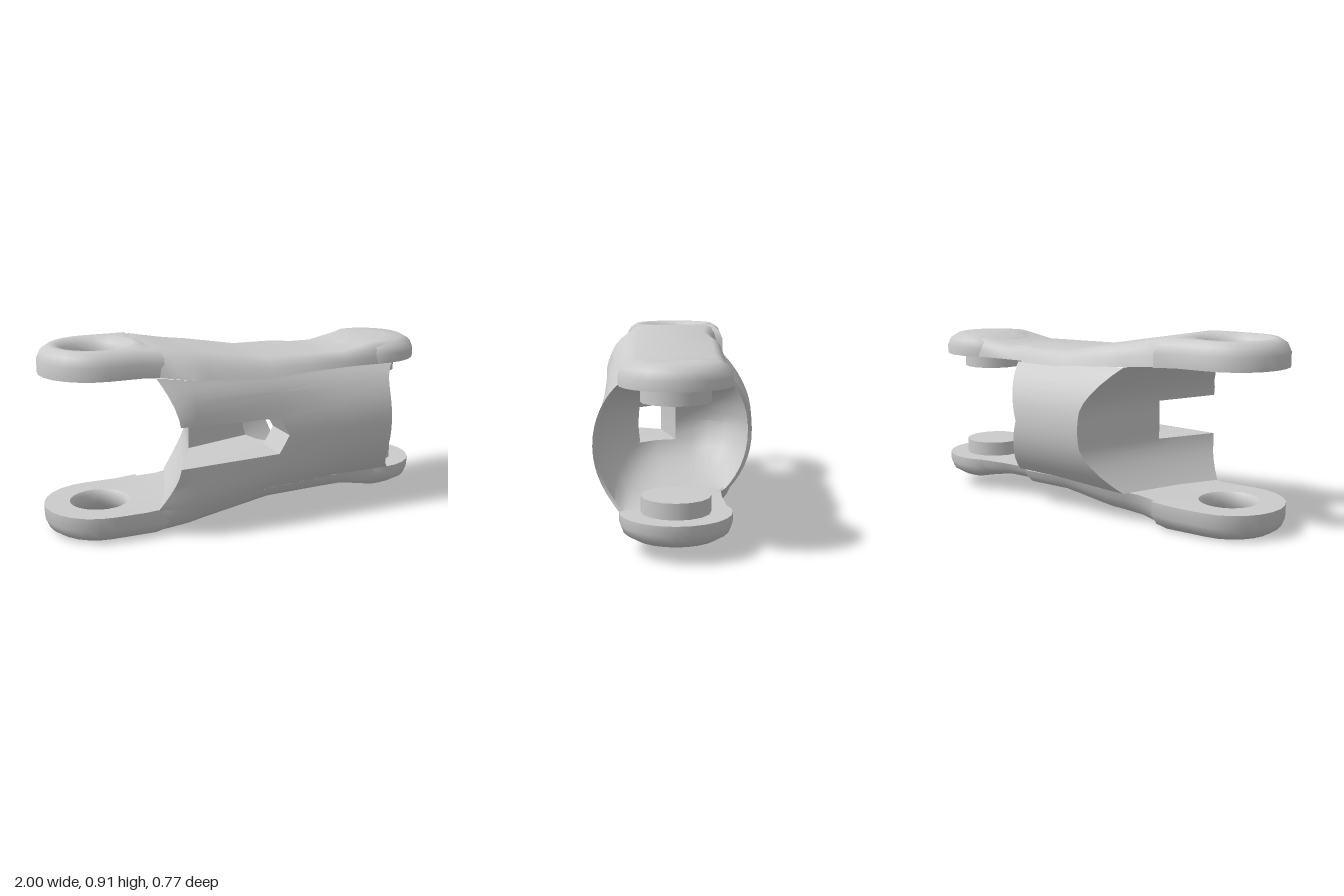
import * as THREE from 'three';
import { mergeGeometries, toCreasedNormals } from 'three/addons/utils/BufferGeometryUtils.js';

const MID = 0.453;      // height of the symmetry plane
const NOTCH = 0.32;     // notch half-height as a fraction of the body
const ZC = 0.017;       // z of both pivot axes

// Piecewise linear lookup through [x, value] pairs
function ramp(pairs, x) {
  if (x <= pairs[0][0]) return pairs[0][1];
  for (let i = 1; i < pairs.length; i++) {
    const [x0, v0] = pairs[i - 1], [x1, v1] = pairs[i];
    if (x <= x1) return v0 + (v1 - v0) * (x - x0) / (x1 - x0);
  }
  return pairs[pairs.length - 1][1];
}
// Distance of the plates' inner and outer faces from the symmetry plane
const inner = x => ramp([[-0.57, 0.325], [0.05, 0.28]], x);
const outer = x => ramp([[-0.5, 0.453], [0.07, 0.355], [0.5, 0.35], [0.7, 0.387]], x);
// Height inside a plate: f = 0 on the inner face, 1 on the outer face
const plateY = (x, f, s) => MID + s * (inner(x) + (outer(x) - inner(x)) * f);

// Plan outline pieces of the body at level t (-1 bottom, 1 top)
function plan(t) {
  const a = Math.abs(t), dy = 0.28 * a;
  const zb = -0.385 * Math.sqrt(1 - (dy / 0.37) ** 2);
  const zbR = zb * 0.92;
  const zf = 0.385 * Math.sqrt(1 - (dy / 0.39) ** 2);
  const zfL = ramp([[0.4, 0.385], [1, 0.29]], a);
  const zShoulder = ramp([[0.8, 0.385], [1, 0.36]], a);
  const flare = 0.13 * Math.max(0, (a - NOTCH) / (1 - NOTCH)) ** 1.5;
  const xn = ramp([[0, 0.12], [NOTCH, 0.07]], a);
  const xL = z => -0.29 - (z - 0.09) * (z > 0.09 ? 0.5 : 0.34) - flare;
  const xb = 0.28 + 0.08 * a;
  const rim = z => xb + (0.7 + 0.06 * a ** 6 - xb) * (z - zbR) / (zf - zbR);
  // Socket, deeper towards the front wall
  const bowl = v => {
    const z = v * (v < 0 ? -zbR - 0.02 : zf - 0.015);
    const shape = Math.max(0, 1 - v * v) ** 0.6 * Math.max(0, 1 - a ** 3) ** 0.6;
    return [rim(z) - 0.45 * (1 + 0.5 * Math.max(0, v)) * shape, z];
  };
  return {
    leftBack: [zb, zb / 2, 0.09].map(z => [xL(z), z]),
    leftFront: [0.23, zfL].map(z => [xL(z), z]),
    shoulder: [[-0.36, zShoulder]],
    front: [[xn, (zf + zShoulder) / 2], [0.45, zf], [rim(zf), zf]],
    bowlFront: [1, 0.95, 0.85, 0.7, 0.54].map(bowl),
    bowlMid: [0.3].map(bowl),
    bowlBack: [0.04, -0.2, -0.45, -0.7, -0.87, -0.96, -1].map(bowl),
    back: [[xb, zbR]],
    notchEnd: [[xn, bowl(0.54)[1]]],
  };
}

// Skin over a row of equal loops of [x, y, z] points
function skin(loops, extraFaces = []) {
  const n = loops[0].length, index = [...extraFaces];
  for (let i = 0; i < loops.length - 1; i++) {
    for (let j = 0; j < n; j++) {
      const a = i * n + j, b = i * n + (j + 1) % n;
      index.push(a, b, b + n, a, b + n, a + n);
    }
  }
  const g = new THREE.BufferGeometry();
  g.setAttribute('position', new THREE.Float32BufferAttribute(loops.flat(2), 3));
  g.setIndex(index);
  return g;
}

// Body piece: stacked plan loops, closed where it meets the notch (cap 1 top, -1 bottom, 0 none)
function bodyPiece(levels, parts, cap) {
  const loops = levels.map(t => {
    const p = plan(t);
    return parts.flatMap(k => p[k]).map(([x, z]) => [x, MID + t * inner(x), z]);
  });
  const faces = [];
  if (cap) {
    const row = cap > 0 ? levels.length - 1 : 0, o = row * loops[0].length;
    const pts = loops[row].map(([x, , z]) => new THREE.Vector2(x, -z));
    for (const [a, b, c] of THREE.ShapeUtils.triangulateShape(pts, [])) {
      faces.push(o + a, ...(cap > 0 ? [o + b, o + c] : [o + c, o + b]));
    }
  }
  return skin(loops, faces);
}

// Hollow waist: full sections above and below, split in two by the notch between
function bodyGeometry() {
  const full = ['leftBack', 'leftFront', 'shoulder', 'front', 'bowlFront', 'bowlMid', 'bowlBack', 'back'];
  const high = [NOTCH, 0.45, 0.6, 0.75, 0.87, 0.95, 1];
  const low = high.map(t => -t).reverse();
  const middle = [-NOTCH, -0.16, 0, 0.16, NOTCH];
  return toCreasedNormals(mergeGeometries([
    bodyPiece(high, full, -1),
    bodyPiece(low, full, 1),
    bodyPiece(middle, ['leftBack', 'bowlBack', 'back'], 0),
    bodyPiece(middle, ['front', 'bowlFront', 'notchEnd'], 0),
  ]), 0.6);
}

// Slab joining eye and pad, continuing the body's round sides; s = 1 top, -1 bottom
function slabGeometry(s) {
  const backZ = [[-0.53, -0.235], [-0.35, -0.21], [-0.2, -0.25], [0.3, -0.25],
    [0.37, -0.2], [0.5, -0.2], [0.75, -0.22]];
  const frontZ = [[-0.53, 0.275], [-0.5, 0.285], [-0.36, 0.36], [0.07, 0.315], [0.45, 0.268], [0.75, 0.255]];
  const stations = [-0.53, -0.5, -0.43, -0.36, -0.28, -0.2, -0.07, 0.07, 0.3, 0.37, 0.5, 0.6, 0.7, 0.75];
  const steps = [0, 0.25, 0.5, 0.75, 1];
  return toCreasedNormals(skin(stations.map(x => {
    const zb = ramp(backZ, x), zf = ramp(frontZ, x);
    const slope = ramp([[-0.5, 0], [-0.3, 0.6], [0.4, 0.6], [0.6, 0]], x);
    const edge = (z, r) => steps.map(k => {
      const a = k * Math.PI / 2, f = Math.sin(a);
      const inset = (1 - slope) * (1 - Math.cos(a)) + slope * k;
      return [x, plateY(x, f, s), z + r * inset];
    });
    const loop = [...edge(zb, 0.07), ...edge(zf, 0.21 - zf).reverse()];
    return s > 0 ? loop : loop.reverse();
  })), 0.75);
}

// Turned disc or ring following the plate's height profile; profile is [radius, f] pairs.
// A square reach widens the outer rim on the +x side so that it runs into the slab.
function turnedGeometry(cx, profile, s, squareFrom = Infinity) {
  const g = new THREE.LatheGeometry(profile.map(p => new THREE.Vector2(...p)), 24);
  const p = g.attributes.position;
  for (let i = 0; i < p.count; i++) {
    const lx = p.getX(i), lz = p.getZ(i), r = Math.hypot(lx, lz);
    const k = lx > 0 && r > squareFrom ? r / Math.max(lx, Math.abs(lz)) : 1;
    const x = cx + lx * k;
    p.setXYZ(i, x, plateY(x, p.getY(i), s), ZC + s * lz * k);
  }
  return toCreasedNormals(g, 0.75);
}

export function createModel() {
  const model = new THREE.Group();
  model.name = 'chainLink';
  const material = new THREE.MeshStandardMaterial({ color: 0xcccccc });
  const add = (name, geometry) => {
    const mesh = new THREE.Mesh(geometry, material);
    mesh.name = name;
    model.add(mesh);
    return mesh;
  };
  const eye = [[0.145, 0], [0.268, 0], [0.268, 0.5], [0.25, 0.82], [0.215, 1],
    [0.185, 1], [0.15, 0.82], [0.13, 0.5], [0.13, 0.15], [0.145, 0]];
  const pad = [[0, 0], [0.25, 0], [0.25, 0.4], [0.235, 0.75], [0.19, 1], [0.1, 1], [0, 1]];

  add('body', bodyGeometry());
  for (const s of [1, -1]) {
    const side = s > 0 ? 'upper' : 'lower';
    add(side + 'Slab', slabGeometry(s));
    add(side + 'Eye', turnedGeometry(-0.732, eye, s, 0.2));
    add(side + 'Pad', turnedGeometry(0.75, pad, s));
    // Peg facing the opposite pad
    add(side + 'Peg', new THREE.CylinderGeometry(0.155, 0.155, 0.09, 16))
      .position.set(0.75, MID + s * 0.252, ZC);
  }
  return model;
}
